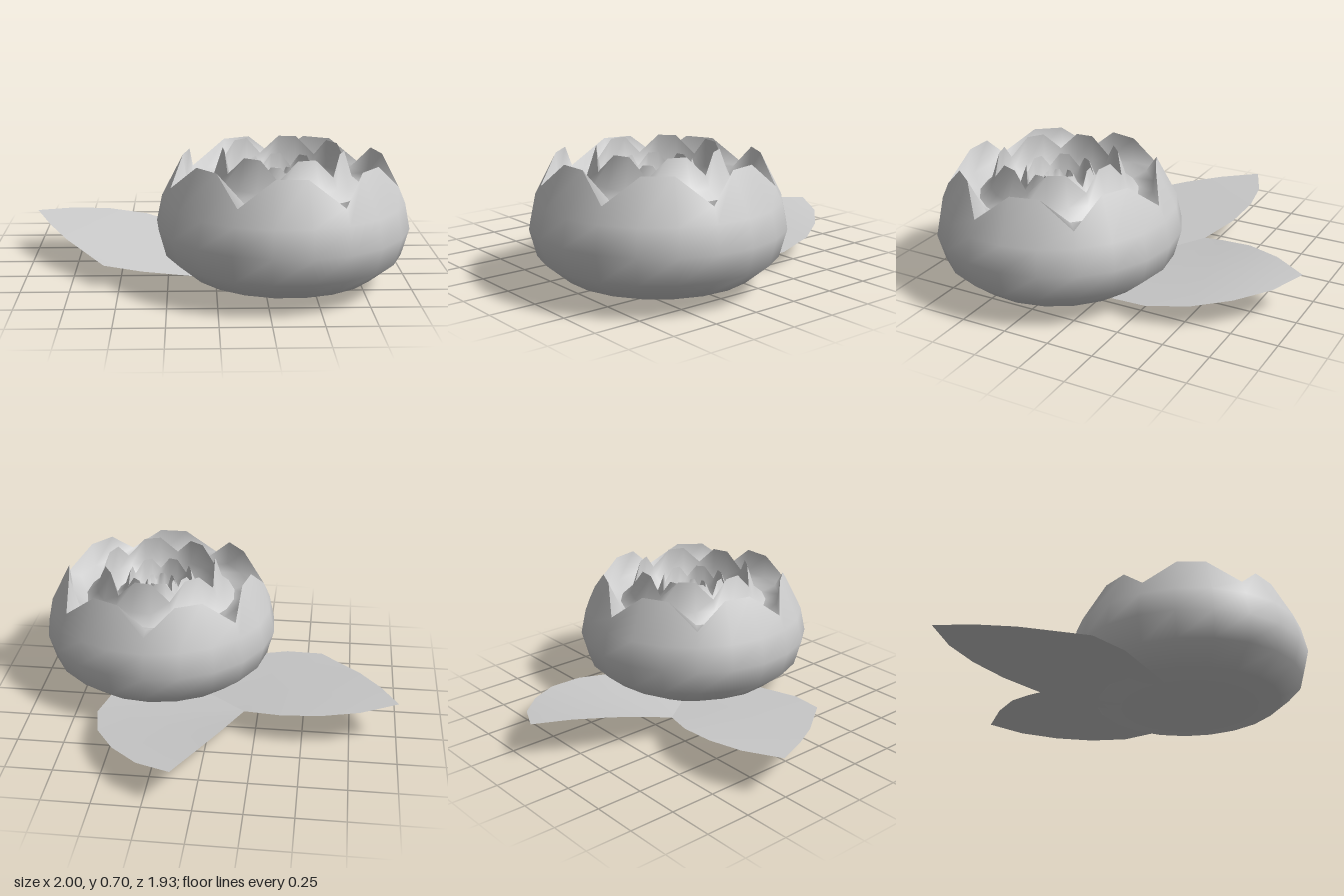
import * as THREE from 'three';

const SEGMENTS = 21; // seven petals, three columns each

function makeMesh(name, positions, index) {
  const geometry = new THREE.BufferGeometry();
  geometry.setAttribute('position', new THREE.Float32BufferAttribute(positions, 3));
  geometry.setIndex(index);
  geometry.computeVertexNormals();
  const material = new THREE.MeshStandardMaterial({ color: 0xcccccc, side: THREE.DoubleSide });
  const mesh = new THREE.Mesh(geometry, material);
  mesh.name = name;
  return mesh;
}

// Ring shell; each row is [radius, y] or, for a scalloped lip,
// [tip radius, tip y, notch radius, notch y, column shift]
function petalShell(name, rows) {
  const positions = [], index = [];
  rows.forEach(([r, y, notchR = r, notchY = y, shift = 0], i) => {
    for (let k = 0; k < SEGMENTS; k++) {
      const angle = ((k + 0.5) / SEGMENTS) * Math.PI * 2;
      const notch = (k - shift + SEGMENTS) % 3 === 1;
      const radius = notch ? notchR : r;
      positions.push(Math.sin(angle) * radius, notch ? notchY : y, Math.cos(angle) * radius);
      if (i < rows.length - 1) {
        const a = i * SEGMENTS + k;
        const b = i * SEGMENTS + ((k + 1) % SEGMENTS);
        index.push(a, b, b + SEGMENTS, a, b + SEGMENTS, a + SEGMENTS);
      }
    }
  });
  return makeMesh(name, positions, index);
}

// Leaf blade; each row is [one edge point, other edge point], tip first
function leaf(name, rows) {
  const positions = [], index = [], n = 3;
  rows.forEach(([p, q], i) => {
    const a = new THREE.Vector3(...p), b = new THREE.Vector3(...q);
    for (let j = 0; j < n; j++) {
      positions.push(...a.clone().lerp(b, j / (n - 1)).toArray());
      if (i < rows.length - 1 && j < n - 1) {
        const v = i * n + j;
        index.push(v, v + n, v + n + 1, v, v + n + 1, v + 1);
      }
    }
  });
  return makeMesh(name, positions, index);
}

export function createModel() {
  const model = new THREE.Group();
  model.name = 'flowerWithLeaves';

  // Scalloped lips and the troughs between the petal layers
  const outerLip = [0.515, 0.665, 0.59, 0.53, 0];
  const middleLip = [0.31, 0.705, 0.335, 0.61, 1];
  const innerLip = [0.17, 0.64, 0.185, 0.57, 2];
  const heartLip = [0.075, 0.59, 0.09, 0.54, 0];
  const outerTrough = [0.42, 0.5], middleTrough = [0.25, 0.5], innerTrough = [0.12, 0.48];

  const flower = new THREE.Group();
  flower.name = 'flower';
  flower.position.set(0.345, 0, 0.318);
  flower.add(
    petalShell('outerPetals', [[0, 0], [0.22, 0.025], [0.49, 0.07], [0.615, 0.175],
      [0.653, 0.315], [0.625, 0.45], outerLip]),
    petalShell('outerPetalInside', [outerLip, [0.5, 0.53], outerTrough]),
    petalShell('middlePetals', [outerTrough, [0.36, 0.55], middleLip]),
    petalShell('middlePetalInside', [middleLip, [0.31, 0.56], middleTrough]),
    petalShell('innerPetals', [middleTrough, [0.21, 0.53], innerLip]),
    petalShell('innerPetalInside', [innerLip, [0.16, 0.52], innerTrough]),
    petalShell('heartPetals', [innerTrough, heartLip]),
    petalShell('heartInside', [heartLip, [0.06, 0.5], [0, 0.48]])
  );
  model.add(flower);

  // Two leaves spreading from under the flower, inner edges raised
  model.add(leaf('sideLeaf', [
    [[-1, 0.22, -0.27], [-1, 0.22, -0.27]],
    [[-0.91, 0.195, -0.07], [-0.8, 0.21, -0.36]],
    [[-0.8, 0.165, 0.12], [-0.6, 0.195, -0.39]],
    [[-0.58, 0.11, 0.41], [-0.39, 0.17, -0.37]],
    [[-0.38, 0.09, 0.45], [-0.19, 0.13, -0.29]],
    [[-0.1, 0.055, 0.43], [0.05, 0.07, -0.1]],
    [[0.25, 0.025, 0.36], [0.3, 0.025, 0.2]]
  ]));
  model.add(leaf('backLeaf', [
    [[0.11, 0.2, -0.97], [0.11, 0.2, -0.97]],
    [[0, 0.21, -0.79], [0.29, 0.175, -0.88]],
    [[-0.09, 0.195, -0.6], [0.44, 0.15, -0.73]],
    [[-0.15, 0.16, -0.42], [0.55, 0.125, -0.55]],
    [[-0.19, 0.13, -0.29], [0.6, 0.095, -0.33]],
    [[0, 0.06, 0], [0.55, 0.055, 0]],
    [[0.25, 0.025, 0.25], [0.42, 0.025, 0.25]]
  ]));
  return model;
}
